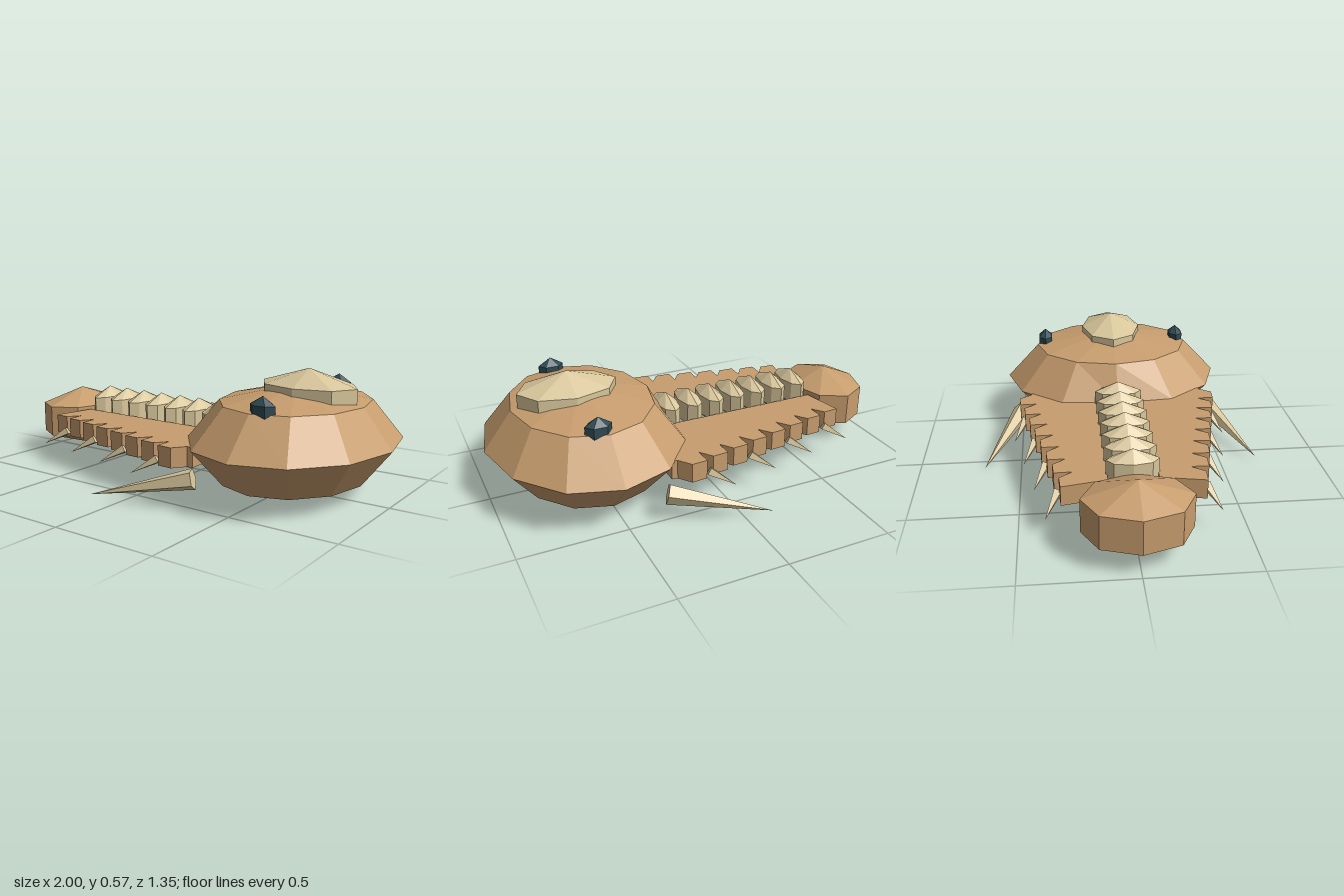
import * as THREE from 'three';

const flat = (name, color) => {
  const m = new THREE.MeshStandardMaterial({ color, flatShading: true });
  m.name = name;
  return m;
};

export function createModel() {
  const shell = flat('tan shell', 0xc79d6e);
  const bone = flat('pale bone', 0xd9c79c);
  const dark = flat('dark eye', 0x2f4a52);
  const model = new THREE.Group();
  model.name = 'trilobite';

  const add = (name, geometry, material) => {
    const mesh = new THREE.Mesh(geometry, material);
    mesh.name = name;
    model.add(mesh);
    return mesh;
  };

  // Faceted ellipsoid: radii and centre as [x, y, z]
  const blob = (name, material, radii, centre, sides, rings) => {
    const mesh = add(name, new THREE.SphereGeometry(1, sides, rings).scale(...radii), material);
    mesh.position.set(...centre);
    return mesh;
  };

  // Spike running from a base point to a tip
  const spike = (name, base, tip, radius, sides) => {
    const a = new THREE.Vector3(...base), b = new THREE.Vector3(...tip);
    const mesh = add(name, new THREE.ConeGeometry(radius, a.distanceTo(b), sides), bone);
    mesh.position.copy(a).add(b).multiplyScalar(0.5);
    mesh.quaternion.setFromUnitVectors(new THREE.Vector3(0, 1, 0), b.sub(a).normalize());
  };

  // Head shield, slightly flattened where it meets the body
  const head = blob('headShield', shell, [0.467, 0.25, 0.57], [0.533, 0.255, 0], 12, 4);
  const p = head.geometry.attributes.position;
  for (let i = 0; i < p.count; i++) p.setX(i, Math.max(p.getX(i), -0.43));
  blob('headBump', bone, [0.271, 0.146, 0.18], [0.595, 0.434, 0], 8, 3);

  // Tail shield
  blob('tailShield', shell, [0.21, 0.157, 0.274], [-0.818, 0.193, 0], 8, 3);

  // Row of central back segments
  for (let i = 0; i < 7; i++)
    blob('backSegment', bone, [0.063, 0.1, 0.135], [-0.607 + 0.1185 * i, 0.276, 0], 8, 3);

  for (const s of [1, -1]) {
    const side = s > 0 ? 'right' : 'left';
    blob(side + 'Eye', dark, [0.071, 0.076, 0.046], [0.572, 0.43, 0.36 * s], 6, 3);

    // Side plate with a saw-toothed outer edge
    const pts = [[-0.655, 0.11]];
    for (let i = 0; i < 8; i++) {
      const x = -0.695 + 0.117 * i, z = 0.312 + 0.0265 * i;
      pts.push([x, z], [x + 0.075, z + 0.005], [x + 0.119, z - 0.055]);
    }
    pts.push([0.27, 0.44], [0.27, 0.11]);
    const outline = new THREE.Shape(pts.map(([x, z]) => new THREE.Vector2(x, z * s)));
    const plate = new THREE.ExtrudeGeometry(outline, { depth: 0.092, bevelEnabled: false });
    add(side + 'RibPlate', plate.rotateX(Math.PI / 2).translate(0, 0.258, 0), shell);

    // Small rib spines and the long cheek spine
    for (let i = 0; i < 4; i++) {
      const x = -0.61 + 0.237 * i, z = 0.322 + 0.05 * i;
      spike(side + 'RibSpine', [x, 0.186, z * s], [x - 0.11, 0.116, (z + 0.058) * s], 0.024, 4);
    }
    spike(side + 'CheekSpine', [0.315, 0.137, 0.497 * s], [-0.12, 0.034, 0.677 * s], 0.049, 5);
  }
  return model;
}
